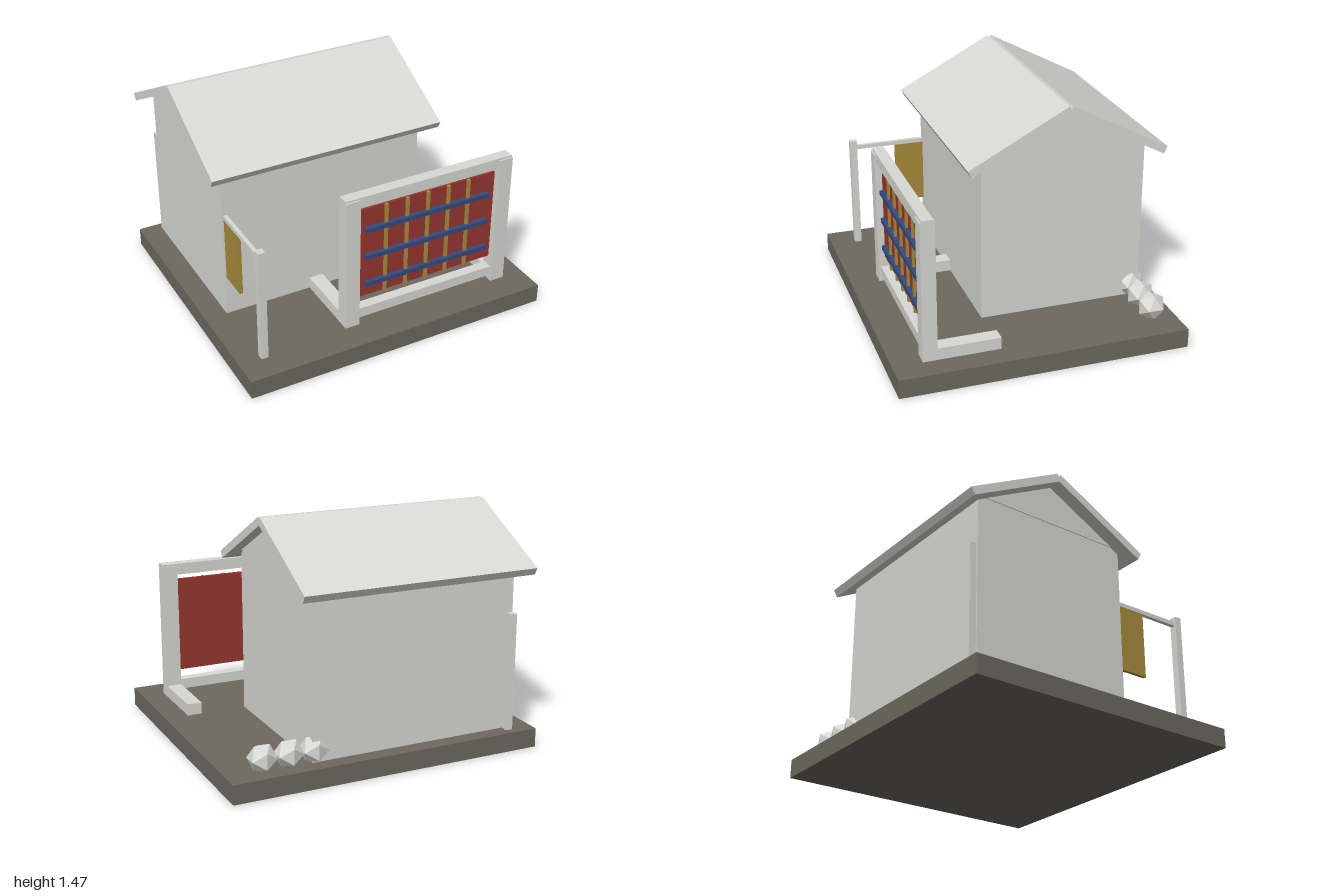
import * as THREE from 'three';

const material = (name, color) => {
  const m = new THREE.MeshStandardMaterial({ color });
  m.name = name;
  return m;
};

export function createModel() {
  const model = new THREE.Group();
  model.name = 'houseWithGate';

  const plaster = material('paleStone', 0xd9dad5);
  const ground = material('darkEarth', 0x6d6960);
  const red = material('redPanel', 0x98362f);
  const gold = material('goldCloth', 0xa88b3c);
  const blue = material('blueSlat', 0x334b80);

  const add = (name, geometry, mat, parent = model) => {
    const mesh = new THREE.Mesh(geometry, mat);
    mesh.name = name;
    parent.add(mesh);
    return mesh;
  };

  // Box given by its extents on each axis
  const block = (name, mat, [x0, x1], [y0, y1], [z0, z1], parent = model) => {
    const mesh = add(name, new THREE.BoxGeometry(x1 - x0, y1 - y0, z1 - z0), mat, parent);
    mesh.position.set((x0 + x1) / 2, (y0 + y1) / 2, (z0 + z1) / 2);
    return mesh;
  };
  const around = (c, size) => [c - size / 2, c + size / 2];

  const floor = 0.12;
  block('base', ground, [-1, 1], [0, floor], [-0.9, 0.9]);

  // House body with a gable prism under the roof
  const ridgeZ = -0.28;
  block('walls', plaster, [-0.86, 0.47], [floor, 1.17], [-0.8, 0.24]);
  const triangle = new THREE.Shape([
    new THREE.Vector2(-0.52, 1.17),
    new THREE.Vector2(0.52, 1.17),
    new THREE.Vector2(0, 1.435),
  ]);
  const gable = add('gable',
    new THREE.ExtrudeGeometry(triangle, { depth: 1.355, bevelEnabled: false }).rotateY(Math.PI / 2), plaster);
  gable.position.set(-0.865, 0, ridgeZ);

  // Two sloping roof slabs, mirrored about the ridge
  for (const side of [1, -1]) {
    const slab = add(side > 0 ? 'frontRoofSlab' : 'backRoofSlab',
      new THREE.BoxGeometry(1.515, 0.05, 0.697), plaster);
    slab.position.set(-0.1925, 1.281, ridgeZ + side * 0.308);
    slab.rotation.x = side * 0.485;
  }

  // Gate frame: posts with feet running back to the house, beam and rail
  const gate = new THREE.Group();
  gate.name = 'gate';
  model.add(gate);
  for (const x of [-0.2425, 0.8075]) {
    block('gatePost', plaster, around(x, 0.095), [floor, 1.0], [0.628, 0.718], gate);
    block('gateFoot', plaster, around(x, 0.093), [floor, 0.195], [0.24, 0.64], gate);
  }
  block('gateBeam', plaster, [-0.29, 0.855], [0.94, 1.012], [0.635, 0.708], gate);
  block('gateRail', plaster, [-0.2, 0.765], [0.16, 0.225], [0.64, 0.705], gate);

  // Red panel with gold uprights and blue slats
  block('gatePanel', red, [-0.195, 0.762], [0.29, 0.905], [0.655, 0.675], gate);
  for (const x of [-0.003, 0.14, 0.283, 0.426, 0.567])
    block('goldUpright', gold, around(x, 0.02), [0.29, 0.905], [0.67, 0.69], gate);
  for (const y of [0.385, 0.578, 0.767])
    block('blueSlat', blue, [-0.145, 0.712], around(y, 0.028), [0.675, 0.705], gate);

  // Slim posts carrying a long arm with a hanging banner
  for (const z of [0.718, -0.828])
    block('slimPost', plaster, [-0.86, -0.815], [floor, 0.858], around(z, 0.045));
  block('bannerArm', plaster, [-0.85, -0.825], [0.798, 0.825], [-0.82, 0.71]);
  block('banner', gold, [-0.848, -0.827], [0.385, 0.796], [0.2, 0.432]);

  // Boulders beside the back corner
  for (const x of [0.443, 0.6, 0.765]) {
    const rock = add('boulder', new THREE.IcosahedronGeometry(0.091, 0), plaster);
    rock.position.set(x, 0.187, -0.757);
  }

  return model;
}
